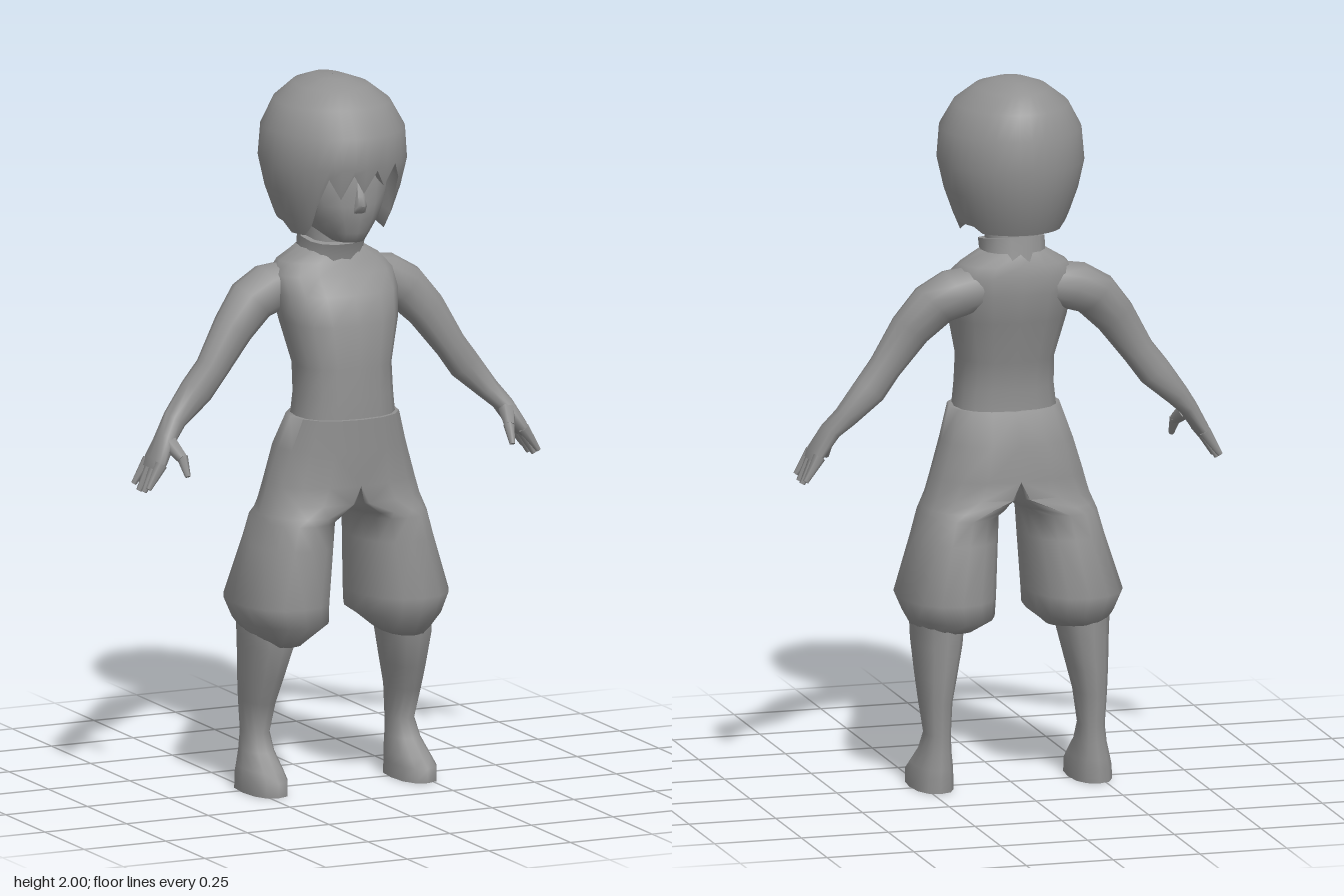
import * as THREE from 'three';
import { toCreasedNormals } from 'three/addons/utils/BufferGeometryUtils.js';

const material = new THREE.MeshStandardMaterial({ color: 0x929292, side: THREE.DoubleSide });

// Stitches equal rows of points (bottom to top, counted round the y axis) into a skin.
function skin(rows, capped = true) {
  const n = rows[0].length, pos = rows.flat(2), idx = [];
  for (let i = 0; i < rows.length - 1; i++) {
    for (let j = 0; j < n; j++) {
      const a = i * n + j, b = i * n + (j + 1) % n;
      idx.push(a, a + n, b, b, a + n, b + n);
    }
  }
  if (capped) {
    const last = (rows.length - 1) * n;
    for (let j = 1; j < n - 1; j++) idx.push(0, j, j + 1, last, last + j + 1, last + j);
  }
  const g = new THREE.BufferGeometry();
  g.setAttribute('position', new THREE.Float32BufferAttribute(pos, 3));
  g.setIndex(idx);
  return toCreasedNormals(g, 1.35);
}

// Loft of rounded rings: [y, xInner, xOuter, zFront, zBack, tilt, pitch, xCentre]
function loft(rings, sides = 12, power = 0.85) {
  const list = rings[0][0] > rings.at(-1)[0] ? [...rings].reverse() : rings;
  const soft = v => Math.sign(v) * Math.abs(v) ** power;
  return skin(list.map(([y, x0, x1, zf, zb, tilt = 0, pitch = 0, cx = (x0 + x1) / 2]) => {
    const row = [];
    for (let j = 0; j < sides; j++) {
      const a = j / sides * Math.PI * 2, c = soft(Math.cos(a)), s = soft(Math.sin(a));
      const u = c * (c > 0 ? x1 - cx : cx - x0), w = s * (zf - zb) / 2;
      row.push([cx + u * Math.cos(tilt), y + u * Math.sin(tilt) + w * pitch, (zf + zb) / 2 + w]);
    }
    return row;
  }));
}

// Tapered digit between two points
function digit(from, to, r0, r1) {
  const a = new THREE.Vector3(...from), d = new THREE.Vector3(...to).sub(a);
  const g = new THREE.CylinderGeometry(r1, r0, d.length(), 6).toNonIndexed();
  g.applyQuaternion(new THREE.Quaternion().setFromUnitVectors(new THREE.Vector3(0, 1, 0), d.clone().normalize()));
  return g.translate(...a.addScaledVector(d, 0.5).toArray());
}

// Reflects a non-indexed geometry in x and turns its faces back outwards
function mirrored(geo) {
  const g = geo.clone().scale(-1, 1, 1);
  for (const name of ['position', 'normal']) {
    const p = g.attributes[name];
    for (let i = 0; i < p.count; i += 3) {
      const a = [p.getX(i), p.getY(i), p.getZ(i)];
      p.setXYZ(i, p.getX(i + 2), p.getY(i + 2), p.getZ(i + 2));
      p.setXYZ(i + 2, ...a);
    }
  }
  return g;
}

// Hair cap with a ragged swept fringe, longer side locks and a round back
function hairGeometry() {
  // [y, half width, front, back]
  const profile = [[1.56, 0.135, 0.15, 0.15], [1.62, 0.16, 0.18, 0.18], [1.69, 0.185, 0.2, 0.205],
    [1.77, 0.203, 0.222, 0.22], [1.86, 0.195, 0.225, 0.215], [1.93, 0.158, 0.17, 0.19],
    [1.975, 0.1, 0.11, 0.145], [1.995, 0.045, 0.045, 0.085], [2, 0.001, 0.001, 0.001]];
  const columns = 36;
  // fringe heights from the left temple to the right one
  const fringe = [1.62, 1.73, 1.775, 1.715, 1.765, 1.7, 1.755, 1.685, 1.745, 1.67, 1.6];
  const radii = y => {
    const i = Math.max(1, profile.findIndex(p => p[0] >= y));
    const a = profile[i - 1], b = profile[i], t = (y - a[0]) / (b[0] - a[0]);
    return [1, 2, 3].map(k => a[k] + (b[k] - a[k]) * t);
  };
  const hem = j => {
    if (j >= 4 && j <= 14) return fringe[j - 4];
    const fromFront = Math.abs((j + 9) % columns - 18);
    if (fromFront <= 8) return 1.57;
    return fromFront <= 12 ? 1.6 : 1.582;
  };
  const point = (j, y, k = 1, lift = 0) => {
    const a = j / columns * Math.PI * 2, [rx, rf, rb] = radii(y), s = Math.sin(a);
    return [k * rx * Math.cos(a), y + lift, k * s * (s > 0 ? rf : rb)];
  };
  const cols = [...Array(columns).keys()];
  const rows = profile.map(p => cols.map(j => point(j, Math.max(p[0], hem(j)))));
  // inner lip under the hem
  rows.unshift(cols.map(j => point(j, hem(j), 0.8, 0.025)));
  return skin(rows, false);
}

// One half of the trousers, joined to its twin on the centre plane
function trouserGeometry() {
  const g = loft([
    [1.06, 0, 0.158, 0.195, -0.065, 0, 0, 0],
    [0.97, 0, 0.187, 0.19, -0.105, 0, 0, 0],
    [0.87, 0, 0.218, 0.185, -0.105, 0, 0, 0],
    [0.82, 0, 0.232, 0.186, -0.108, 0, 0, 0.025],
    [0.787, 0.012, 0.242, 0.188, -0.111, 0, 0, 0.1],
    [0.768, 0.034, 0.248, 0.189, -0.114],
    [0.7, 0.038, 0.267, 0.193, -0.125],
    [0.54, 0.048, 0.317, 0.205, -0.158],
    [0.485, 0.052, 0.292, 0.2, -0.152],
    [0.435, 0.115, 0.262, 0.13, -0.095, 0, -0.13],
  ], 16, 0.9);
  // level the normals across the centre seam
  const p = g.attributes.position, n = g.attributes.normal, v = new THREE.Vector3();
  for (let i = 0; i < p.count; i++) {
    v.set(0, n.getY(i), n.getZ(i));
    if (Math.abs(p.getX(i)) < 1e-4 && v.length() > 0.1) n.setXYZ(i, ...v.normalize().toArray());
  }
  return g;
}

export function createModel() {
  const model = new THREE.Group();
  model.name = 'figure';
  const add = (name, geo) => {
    const mesh = new THREE.Mesh(geo, material);
    mesh.name = name;
    model.add(mesh);
  };
  const pair = (name, geo) => {
    add('left' + name, geo);
    add('right' + name, mirrored(geo));
  };
  const even = rows => rows.map(([y, r, zf, zb, pitch = 0]) => [y, -r, r, zf, zb, 0, pitch]);

  // Head
  add('hair', hairGeometry());
  add('head', loft(even([[1.553, 0.045, 0.152, 0.03], [1.58, 0.075, 0.163, -0.07], [1.62, 0.105, 0.178, -0.12],
    [1.66, 0.125, 0.182, -0.14], [1.7, 0.14, 0.178, -0.15], [1.8, 0.15, 0.18, -0.15], [1.88, 0.12, 0.12, -0.1]]), 16, 0.95));
  add('nose', loft(even([[1.64, 0.024, 0.181, 0.14], [1.664, 0.018, 0.205, 0.14], [1.69, 0.014, 0.194, 0.14],
    [1.74, 0.01, 0.178, 0.14]]), 8, 1));
  add('neck', loft(even([[1.48, 0.075, 0.055, -0.09], [1.6, 0.075, 0.065, -0.08]])));
  add('collar', loft(even([[1.46, 0.1, 0.06, -0.112], [1.5, 0.09, 0.066, -0.105], [1.548, 0.091, 0.08, -0.095, -0.17]]), 14));

  // Torso, sloping from the collar into the shoulders
  add('torso', loft(even([[1.04, 0.146, 0.18, -0.05], [1.12, 0.137, 0.181, -0.047], [1.2, 0.135, 0.178, -0.06],
    [1.32, 0.163, 0.174, -0.1], [1.4, 0.176, 0.145, -0.117], [1.45, 0.176, 0.095, -0.116],
    [1.482, 0.15, 0.065, -0.11], [1.518, 0.09, 0.055, -0.1]]), 16, 0.8));

  // Arms, tilted rings from inside the shoulder to the knuckles: [x, y, z, half thickness, half depth, tilt]
  pair('Arm', loft([[0.105, 1.42, -0.035, 0.06, 0.065, 1.3], [0.17, 1.405, -0.04, 0.07, 0.07, 1.1],
    [0.232, 1.375, -0.035, 0.066, 0.064, 0.8],
    [0.295, 1.305, -0.02, 0.058, 0.05, 0.65], [0.365, 1.2, -0.01, 0.046, 0.041, 0.6],
    [0.41, 1.14, -0.014, 0.047, 0.04, 0.68], [0.478, 1.067, -0.01, 0.033, 0.034, 0.68],
    [0.515, 1.025, 0.012, 0.026, 0.042, 0.6], [0.552, 0.965, 0.025, 0.021, 0.056, 0.5],
    [0.566, 0.942, 0.026, 0.014, 0.054, 0.5],
  ].map(([x, y, z, r, d, t]) => [y, x - r, x + r, z + d, z - d, t]), 12, 0.9));
  [[0.072, 0.895], [0.042, 0.882], [0.01, 0.88], [-0.024, 0.893]].forEach(([z, y], i) => {
    pair('Finger' + (i + 1), digit([0.555, 0.96, 0.025 + (z - 0.025) * 0.85], [0.597, y, z], 0.018, 0.008));
  });
  pair('Thumb', digit([0.515, 1.01, 0.04], [0.5, 0.975, 0.09], 0.024, 0.016));
  pair('ThumbTip', digit([0.5, 0.98, 0.085], [0.497, 0.93, 0.115], 0.016, 0.008));

  // Trousers, shins and feet
  pair('TrouserLeg', trouserGeometry());
  pair('ShinAndFoot', loft([[0.48, 0.14, 0.278, 0.13, -0.105], [0.41, 0.146, 0.275, 0.125, -0.103],
    [0.32, 0.165, 0.27, 0.09, -0.1], [0.25, 0.18, 0.265, 0.06, -0.095], [0.16, 0.186, 0.257, 0.02, -0.087],
    [0.11, 0.182, 0.265, 0.05, -0.088], [0.065, 0.174, 0.278, 0.105, -0.093],
    [0.04, 0.171, 0.285, 0.135, -0.095], [0, 0.17, 0.286, 0.135, -0.095]], 12));
  return model;
}
